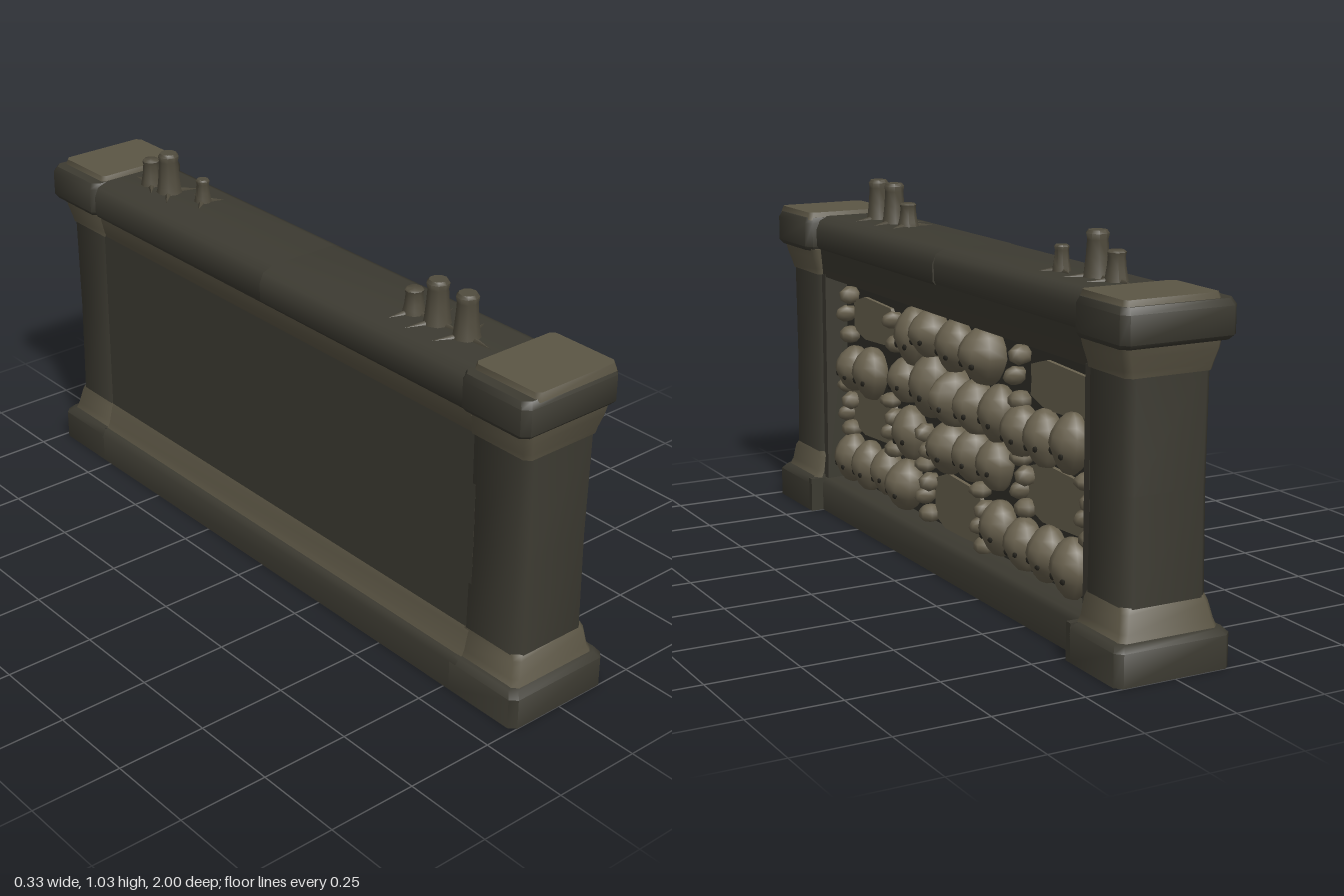
import * as THREE from 'three';
import { toCreasedNormals } from 'three/addons/utils/BufferGeometryUtils.js';

const mat = (name, color, side = THREE.FrontSide) => {
  const m = new THREE.MeshStandardMaterial({ color, side });
  m.name = name;
  return m;
};

// Loft through chamfered rectangles. Ring: [y, x0, x1, z0, z1, chamfer].
// Sides run +x, corner, -z, corner, -x, corner, +z, corner; open ones are left out.
function loft(rings, { caps = true, open = [] } = {}) {
  const pos = [], idx = [], n = 8;
  for (const [y, x0, x1, z0, z1, c] of rings) {
    const pts = [[x1, z1 - c], [x1, z0 + c], [x1 - c, z0], [x0 + c, z0],
      [x0, z0 + c], [x0, z1 - c], [x0 + c, z1], [x1 - c, z1]];
    for (const [x, z] of pts) pos.push(x, y, z);
  }
  for (let i = 0; i < rings.length - 1; i++) {
    for (let j = 0; j < n; j++) {
      if (open.includes(j)) continue;
      const a = i * n + j, b = i * n + (j + 1) % n;
      idx.push(a, b, b + n, a, b + n, a + n);
    }
  }
  const t = (rings.length - 1) * n;
  for (let j = 1; caps && j < n - 1; j++) idx.push(0, j + 1, j, t, t + j, t + j + 1);
  const g = new THREE.BufferGeometry();
  g.setAttribute('position', new THREE.Float32BufferAttribute(pos, 3));
  g.setIndex(idx);
  return toCreasedNormals(g, 0.9);
}

// Skull: a low sphere with a broad crown, pinched jaw and face narrowing forward
function skullGeometry() {
  const g = new THREE.SphereGeometry(1, 10, 8);
  const p = g.attributes.position;
  for (let i = 0; i < p.count; i++) {
    let x = p.getX(i), y = p.getY(i), z = p.getZ(i);
    const pinch = 1 - 0.2 * Math.max(0, x);
    if (y < 0) z *= 1 + 0.35 * y;
    if (y < -0.2) x *= 0.88;
    p.setXYZ(i, x, Math.max(y, -0.92) * pinch, z * pinch);
  }
  g.computeVertexNormals();
  return g;
}

export function createModel() {
  const root = new THREE.Group();
  root.name = 'ossuaryWall';
  const stone = mat('darkStone', 0x3d3b32);
  const shell = mat('baseStone', 0x3c3a31, THREE.DoubleSide);
  const trim = mat('paleStone', 0x5c5645, THREE.DoubleSide);
  const recess = mat('recessStone', 0x302f28);
  const bone = mat('bone', 0x6a624f);
  const socket = mat('eyeSocket', 0x2b2922);
  const wax = mat('wax', 0x514c3e);

  const add = (name, geo, material, parent = root) => {
    const m = new THREE.Mesh(geo, material);
    m.name = name;
    parent.add(m);
    return m;
  };

  // End pillars, hollow underneath
  for (const s of [1, -1]) {
    const g = new THREE.Group();
    g.name = s > 0 ? 'frontPillar' : 'backPillar';
    root.add(g);
    const capEnd = s > 0 ? 0.987 : 0.999;
    const inner = s > 0 ? [1, 2, 3] : [5, 6, 7];
    // Ring with z given as distance from the middle (near, far)
    const r = (y, x0, x1, near, far, c) =>
      s > 0 ? [y, x0, x1, near - 0.008, far, c] : [y, x0, x1, -far, -near - 0.008, c];
    add('pillarBase', loft([
      r(0, -0.165, 0.163, 0.758, 1, 0.018), r(0.085, -0.165, 0.163, 0.758, 1, 0.018),
      r(0.1, -0.152, 0.152, 0.765, 0.985, 0.018), r(0.103, -0.138, 0.138, 0.765, 0.97, 0.018),
    ], { caps: false, open: inner }), shell, g);
    add('baseReturn', new THREE.BoxGeometry(0.046, 0.101, 0.02), shell, g)
      .position.set(0.14, 0.0505, s * 0.768 - 0.008);
    add('pillarFoot', loft([
      r(0.099, -0.142, 0.142, 0.76, 0.98, 0.015), r(0.12, -0.135, 0.133, 0.762, 0.973, 0.015),
      r(0.165, -0.124, 0.126, 0.765, 0.965, 0.015), r(0.18, -0.12, 0.12, 0.765, 0.958, 0.018),
    ], { caps: false, open: s > 0 ? [2] : [6] }), trim, g);
    add('pillarShaft', loft([
      r(0.17, -0.121, 0.121, 0.765, 0.96, 0.022), r(0.45, -0.119, 0.119, 0.767, 0.957, 0.022),
      r(0.745, -0.121, 0.121, 0.765, 0.96, 0.022),
    ]), stone, g);
    add('pillarNeck', loft([
      r(0.733, -0.122, 0.122, 0.765, 0.96, 0.015), r(0.75, -0.126, 0.126, 0.765, 0.963, 0.015),
      r(0.785, -0.135, 0.137, 0.762, 0.972, 0.015), r(0.812, -0.138, 0.143, 0.76, 0.976, 0.015),
    ]), trim, g);
    add('pillarCap', loft([
      r(0.808, -0.155, 0.153, 0.772, capEnd - 0.012, 0.018), r(0.82, -0.163, 0.16, 0.765, capEnd, 0.018),
      r(0.89, -0.163, 0.16, 0.765, capEnd, 0.018), r(0.907, -0.155, 0.153, 0.77, capEnd - 0.01, 0.018),
    ]), stone, g);
    add('pillarTopSlab', loft([
      r(0.9, -0.125, 0.15, 0.77, 0.985, 0.01), r(0.922, -0.12, 0.145, 0.775, 0.98, 0.012),
    ]), trim, g);
  }

  // Hollow wall between the pillars: rear sheet, and a recessed panel on the bone side
  add('rearWall', new THREE.BoxGeometry(0.006, 0.64, 1.58), stone).position.set(-0.117, 0.49, 0);
  add('recessPanel', new THREE.BoxGeometry(0.07, 0.66, 1.56), recess).position.set(0.004, 0.415, 0);
  for (const z of [0.753, -0.768]) {
    add('jamb', new THREE.BoxGeometry(0.08, 0.64, 0.025), stone).position.set(0.07, 0.415, z);
  }

  // Plinth, mouldings and coping, each coping half a little different
  add('wallBase', loft([
    [0, -0.165, 0.125, -0.79, 0.79, 0], [0.085, -0.165, 0.125, -0.79, 0.79, 0],
    [0.1, -0.152, 0.112, -0.79, 0.79, 0], [0.102, -0.138, 0.03, -0.79, 0.79, 0],
  ], { caps: false, open: [2, 6] }), shell);
  add('rearFootMoulding', loft([
    [0.099, -0.145, -0.04, -0.79, 0.79, 0], [0.12, -0.135, -0.04, -0.79, 0.79, 0],
    [0.165, -0.125, -0.04, -0.79, 0.79, 0], [0.18, -0.119, -0.04, -0.79, 0.79, 0],
  ], { caps: false, open: [0, 2, 6] }), trim);
  add('rearNeckMoulding', loft([
    [0.733, -0.119, -0.04, -0.78, 0.78, 0], [0.75, -0.126, -0.04, -0.78, 0.78, 0],
    [0.785, -0.135, -0.04, -0.78, 0.78, 0], [0.812, -0.14, -0.04, -0.78, 0.78, 0],
  ]), trim);
  add('lintel', loft([
    [0.728, -0.03, 0.108, -0.77, 0.77, 0], [0.775, -0.03, 0.114, -0.77, 0.77, 0],
    [0.82, -0.03, 0.12, -0.77, 0.77, 0],
  ]), stone);
  for (const [z0, z1, d] of [[0, 0.775, 0], [-0.775, 0, 0.005]]) {
    add('coping', loft([
      [0.808, -0.15, 0.115, z0, z1, 0], [0.822, -0.162 + d, 0.128 - d, z0, z1, 0],
      [0.87, -0.162 + d, 0.13 - d, z0, z1, 0], [0.897, -0.15 + d, 0.118, z0, z1, 0],
      [0.91, -0.115 + d, 0.09, z0, z1, 0],
    ]), stone);
  }

  // Skulls: [z, y, half width, half height, foremost x]
  const skulls = [
    [0.66, 0.18, 0.06, 0.08], [0.54, 0.18, 0.06, 0.08], [0.41, 0.19, 0.06, 0.075], [0.29, 0.18, 0.068, 0.08, 0.136],
    [-0.26, 0.19, 0.066, 0.08], [-0.39, 0.18, 0.064, 0.075], [-0.51, 0.185, 0.064, 0.08], [-0.63, 0.18, 0.07, 0.084],
    [0.26, 0.34, 0.068, 0.083], [0.02, 0.35, 0.072, 0.08, 0.14], [-0.12, 0.36, 0.058, 0.08, 0.136], [-0.24, 0.36, 0.064, 0.075],
    [0.64, 0.46, 0.064, 0.072], [0.52, 0.465, 0.074, 0.083], [0.29, 0.49, 0.064, 0.07], [0.13, 0.505, 0.07, 0.1, 0.136],
    [-0.01, 0.495, 0.056, 0.084, 0.151], [-0.13, 0.495, 0.062, 0.08, 0.138], [-0.25, 0.5, 0.064, 0.084],
    [-0.37, 0.48, 0.064, 0.075], [-0.49, 0.485, 0.064, 0.08], [-0.62, 0.5, 0.064, 0.084],
    [0.24, 0.625, 0.07, 0.09], [0.13, 0.65, 0.07, 0.074, 0.136], [-0.01, 0.64, 0.072, 0.08], [-0.18, 0.645, 0.078, 0.084, 0.145],
  ];
  const head = skullGeometry();
  const eye = new THREE.SphereGeometry(1, 6, 4);
  skulls.forEach(([z, y, w, h, front = 0.124], i) => {
    const g = new THREE.Group();
    g.name = 'skull';
    g.position.set(0.065, y, z);
    g.scale.set(front - 0.065, h, w);
    g.rotation.x = 0.12 * ((i % 3) - 1);
    root.add(g);
    add('cranium', head, bone, g);
    for (const s of [1, -1]) {
      const e = add('eyeSocket', eye, socket, g);
      e.position.set(0.72, -0.22, 0.34 * s);
      e.scale.set(0.07, 0.13, 0.19);
    }
  });

  // Stacked long bones: flat bundles [z, y, width, height]
  const bundles = [[0.53, 0.62, 0.29, 0.13], [0.53, 0.335, 0.32, 0.15], [0, 0.18, 0.3, 0.17],
    [-0.54, 0.62, 0.31, 0.13], [-0.53, 0.335, 0.33, 0.16]];
  for (const [z, y, w, h] of bundles) {
    const s = new THREE.Shape();
    for (let k = 0; k < 14; k++) {
      const a = k / 14 * Math.PI * 2, q = 1 - 0.08 * (k % 2);
      const f = (v) => Math.sign(v) * Math.pow(Math.abs(v), 0.55) * q;
      s[k ? 'lineTo' : 'moveTo'](f(Math.cos(a)) * w / 2, f(Math.sin(a)) * h / 2);
    }
    const m = add('boneBundle', new THREE.ExtrudeGeometry(s, { depth: 0.012, bevelEnabled: false }), bone);
    m.rotation.y = Math.PI / 2;
    m.position.set(0.038, y, z);
  }

  // Bone knuckles at the bundle ends: [z, first y, last y, count]
  const knob = new THREE.SphereGeometry(1, 7, 5);
  const columns = [[0.685, 0.56, 0.68, 3], [0.37, 0.585, 0.65, 2], [0.68, 0.27, 0.4, 4], [0.385, 0.27, 0.41, 4],
    [0.165, 0.13, 0.36, 6], [-0.16, 0.12, 0.27, 4], [-0.345, 0.56, 0.68, 3], [-0.38, 0.28, 0.41, 4], [-0.7, 0.28, 0.42, 4]];
  for (const [z, y0, y1, n] of columns) {
    for (let k = 0; k < n; k++) {
      const m = add('boneKnuckle', knob, bone);
      m.position.set(0.06, y0 + (y1 - y0) * k / (n - 1), z + (k % 2 ? 0.013 : -0.013));
      m.scale.set(0.036, 0.027 - 0.004 * (k % 2), 0.029);
      m.rotation.x = k;
    }
  }

  // Candles with drips: [x, z, height, radius]
  const candles = [[-0.02, 0.635, 0.12, 0.03], [-0.02, 0.53, 0.12, 0.03], [-0.025, 0.45, 0.07, 0.025],
    [0.01, -0.475, 0.07, 0.02], [-0.02, -0.595, 0.12, 0.03], [-0.025, -0.675, 0.08, 0.025]];
  for (const [x, z, h, r] of candles) {
    const g = new THREE.Group();
    g.name = 'candle';
    g.position.set(x, 0.907, z);
    root.add(g);
    const profile = [[r * 1.35, -0.01], [r * 1.15, 0.015], [r, h * 0.45], [r * 0.9, h * 0.8],
      [r, h * 0.93], [r * 0.8, h], [0, h]].map(([a, b]) => new THREE.Vector2(a, b));
    add('candleStick', toCreasedNormals(new THREE.LatheGeometry(profile, 9), 0.9), wax, g);
    for (let k = 0; k < 3; k++) {
      const a = k * 1.9 - 0.9 + z;
      const m = add('waxDrip', new THREE.ConeGeometry(0.012, r * 2.6, 5), wax, g);
      m.rotation.set(0, -a, -Math.PI / 2, 'YXZ');
      m.position.set(Math.cos(a) * r * 1.7, 0.003, Math.sin(a) * r * 1.7);
    }
  }
  return root;
}
